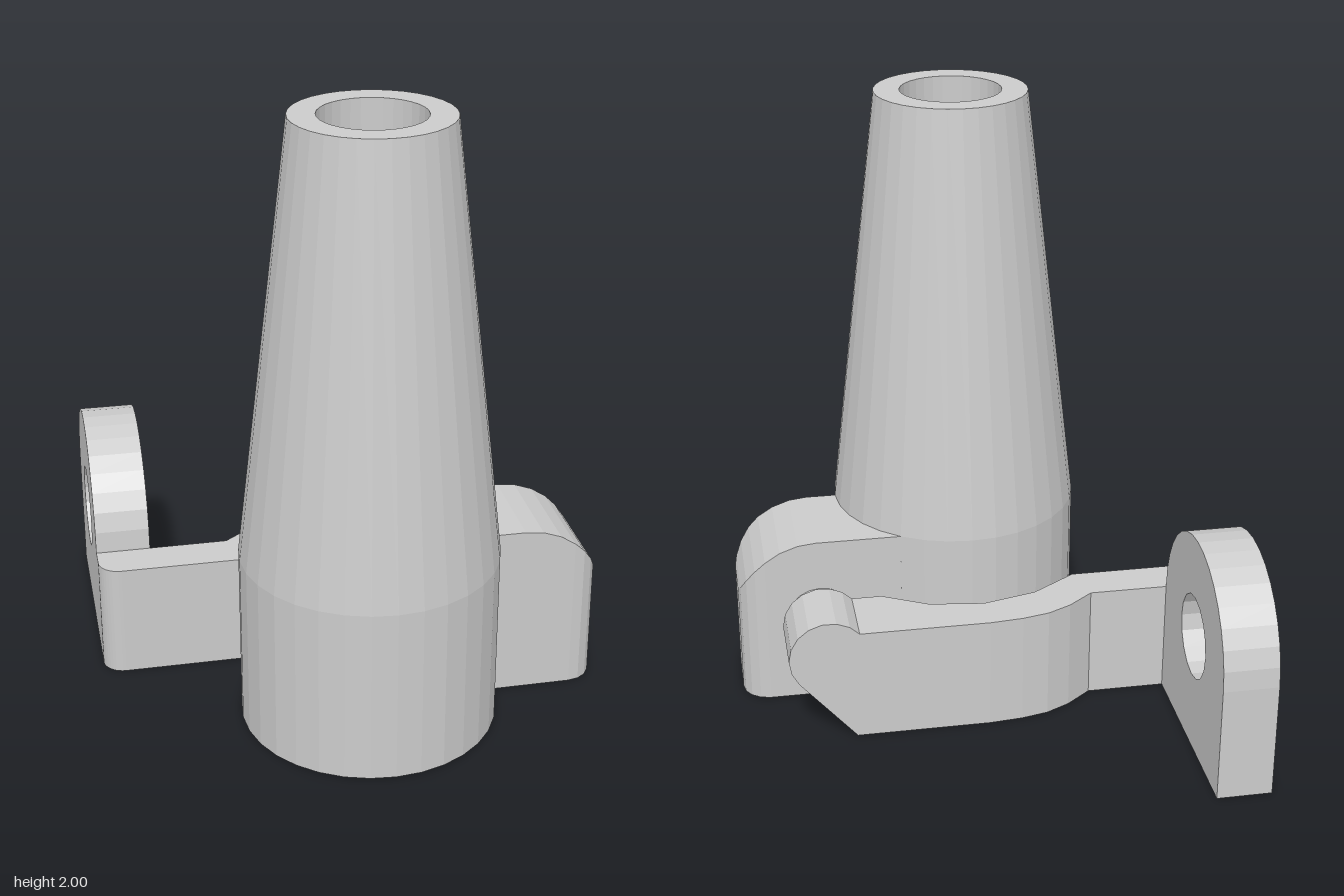
import * as THREE from 'three';

const material = new THREE.MeshStandardMaterial({ color: 0xcccccc, flatShading: true, side: THREE.DoubleSide });

function part(name, geometry) {
  const flat = geometry.index ? geometry.toNonIndexed() : geometry;
  flat.computeVertexNormals();
  const mesh = new THREE.Mesh(flat, material);
  mesh.name = name;
  return mesh;
}

const extrude = (shape, depth, curveSegments = 8) =>
  new THREE.ExtrudeGeometry(shape, { depth, bevelEnabled: false, curveSegments });

const polygon = (points) => new THREE.Shape(points.map(([x, y]) => new THREE.Vector2(x, y)));

// Hollow socket: straight base, tapered neck, stepped bore
function socket() {
  const profile = [
    [0.27, 0], [0.415, 0], [0.415, 0.58], [0.25, 2], [0.165, 2],
    [0.165, 0.52], [0.145, 0.52], [0.145, 0.46], [0.21, 0.38], [0.255, 0.24], [0.27, 0.1], [0.27, 0],
  ].map(([r, y]) => new THREE.Vector2(r, y));
  return new THREE.LatheGeometry(profile, 32).translate(0.025, 0, 0.375);
}

// Side lug: rectangular sections along x, rounded off at the top and outer corners
function lug() {
  const front = 0.375, back = 0.03, radius = 0.09;
  const stations = [0.3, 0.54, 0.6, 0.66, 0.71, 0.745, 0.774, 0.793, 0.8];
  const positions = [], index = [];
  stations.forEach((x, i) => {
    const dx = Math.max(0, x - 0.54);
    const h = 0.31 + Math.sqrt(0.27 ** 2 - dx ** 2);
    const cx = Math.max(0, x - (0.8 - radius));
    const inset = radius - Math.sqrt(Math.max(0, radius ** 2 - cx ** 2));
    const zf = front - inset, zb = back + inset;
    const xf = i ? x : 0.33, xb = i ? x : 0.25; // root follows the socket wall
    positions.push(xf, 0, zf, xf, h, zf, xb, h, zb, xb, 0, zb);
    if (!i) return;
    for (let j = 0; j < 4; j++) {
      const a = (i - 1) * 4 + j, b = (i - 1) * 4 + (j + 1) % 4;
      index.push(a, a + 4, b, b, a + 4, b + 4);
    }
  });
  const e = (stations.length - 1) * 4;
  index.push(e, e + 2, e + 1, e, e + 3, e + 2);
  const g = new THREE.BufferGeometry();
  g.setAttribute('position', new THREE.Float32BufferAttribute(positions, 3));
  g.setIndex(index);
  return g;
}

// Curved arm, drawn in plan as x and -z
function arm() {
  const s = new THREE.Shape();
  s.moveTo(-0.73, -0.025);
  [[-0.33, -0.025], [-0.18, 0.075], [0, 0.12], [0.18, 0.095], [0.33, 0.015], [0.435, 0.015],
    [0.435, 0.25], [0, 0.25], [-0.11, 0.24], [-0.2, 0.22], [-0.28, 0.18], [-0.365, 0.113],
    [-0.805, 0.113], [-0.805, 0.045]].forEach(([x, y]) => s.lineTo(x, y));
  s.absarc(-0.735, 0.045, 0.07, Math.PI, Math.PI * 1.5, false);
  return extrude(s, 0.385, 5).rotateX(-Math.PI / 2);
}

// Rounded arm end that carries the pin
function armEnd() {
  const points = [[0.435, 0], [0.445, 0]];
  const from = -0.7, to = 2.47;
  for (let i = 0; i <= 9; i++) {
    const a = from + (to - from) * i / 9;
    points.push([0.53 + 0.132 * Math.cos(a), 0.3 + 0.132 * Math.sin(a)]);
  }
  return extrude(polygon(points), 0.235).translate(0, 0, -0.25);
}

// Upright eye plate, drawn in z and y
function eyePlate() {
  const s = new THREE.Shape();
  s.moveTo(-0.793, 0);
  s.lineTo(-0.112, 0);
  s.lineTo(-0.112, 0.39);
  s.absarc(-0.4525, 0.39, 0.3405, 0, Math.PI, false);
  const hole = new THREE.Path();
  hole.absarc(-0.4525, 0.39, 0.14, 0, Math.PI * 2, true);
  s.holes.push(hole);
  return extrude(s, 0.18, 8).rotateY(-Math.PI / 2).translate(-0.625, 0, 0);
}

export function createModel() {
  const group = new THREE.Group();
  group.name = 'socketWithHingedArm';
  const pin = new THREE.CylinderGeometry(0.117, 0.117, 0.1, 20)
    .rotateX(Math.PI / 2).translate(0.53, 0.292, 0.01);
  group.add(
    part('socket', socket()),
    part('lug', lug()),
    part('pin', pin),
    part('arm', arm()),
    part('armEnd', armEnd()),
    part('eyePlate', eyePlate()),
  );
  return group;
}
